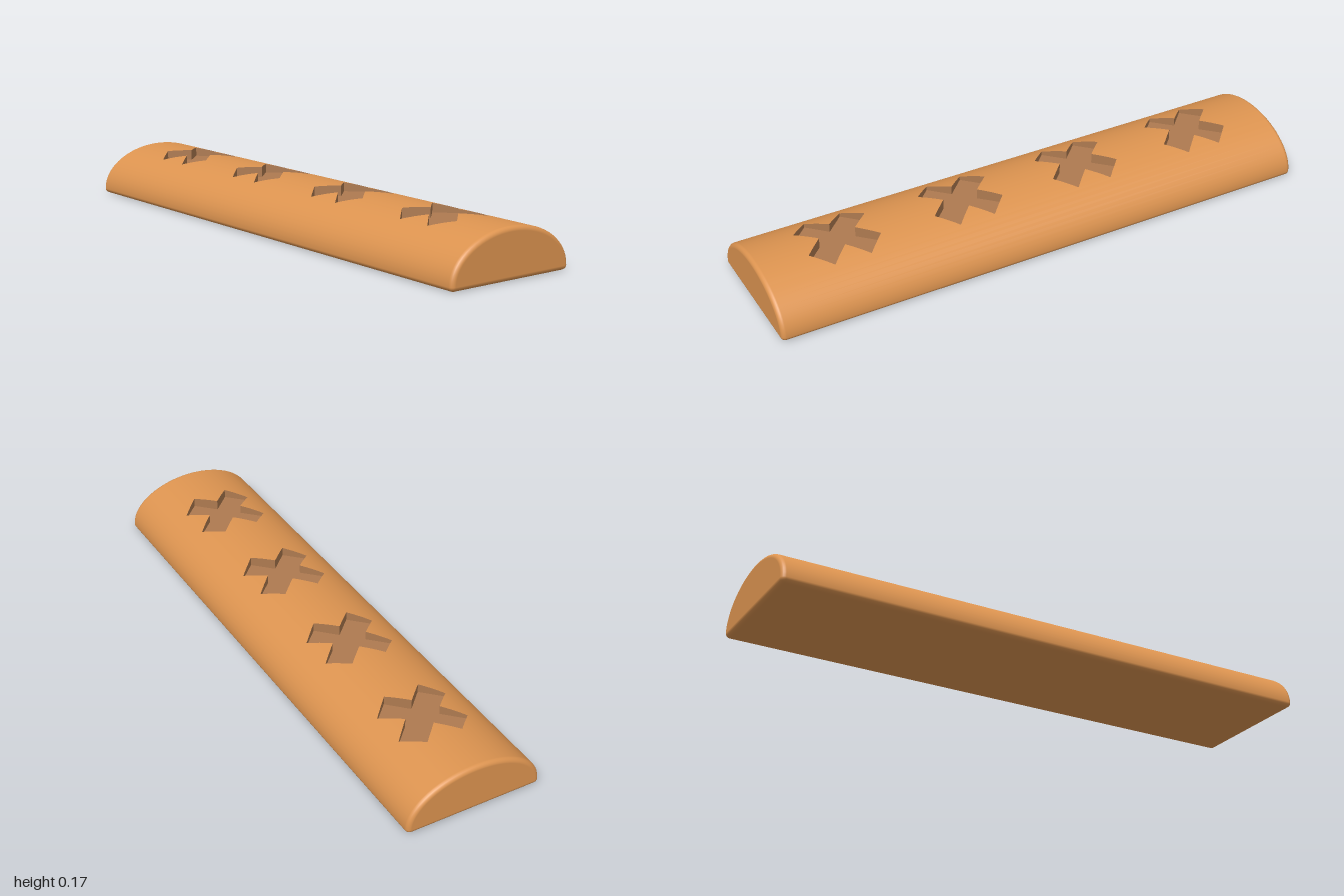
import * as THREE from 'three';

const HALF = 1, BEVEL = 0.016;            // half length, end rounding
const W = 0.247, BASE = 0.016, RISE = 0.156; // domed section
const A = 0.065;                          // a cross reaches 2A from its centre
const FLOOR = 0.135;                      // height of the cross pockets' floor
const CENTRES = [-0.69, -0.23, 0.23, 0.69];

// Extent of a cross along z (from its centre) at a given x
const lo = x => Math.max(0, Math.abs(x) - A);
const hi = x => Math.abs(x) <= A ? A + Math.abs(x) : 3 * A - Math.abs(x);

// Section ring, counter-clockwise seen from +z; each point has a normal
function sectionRing() {
  const half = [];
  const add = (cx, rx, ry, t) => {
    const n = new THREE.Vector2(Math.cos(t) / rx, Math.sin(t) / ry).normalize();
    half.push({ x: cx + rx * Math.cos(t), y: BASE + ry * Math.sin(t), nx: n.x, ny: n.y });
  };
  for (let i = 0; i < 6; i++) add(W - 0.018, 0.018, BASE, -Math.PI / 2 * (1 - i / 6));
  const edge = Math.acos(2 * A / W);
  for (let i = 0; i < 10; i++) add(0, W, RISE, edge * i / 10);
  for (let i = 8; i >= 0; i--) add(0, W, RISE, Math.acos(A * i / 4 / W));
  const mirrored = half.slice(0, -1).reverse().map(p => ({ ...p, x: -p.x, nx: -p.nx }));
  return [...half, ...mirrored];
}

// Collects triangles; each vertex is [x, y, z, nx, ny, nz] (normal optional)
class Builder {
  pos = [];
  nor = [];
  tri(...vs) {
    for (const v of vs) {
      this.pos.push(v[0], v[1], v[2]);
      if (v.length > 3) this.nor.push(v[3], v[4], v[5]);
    }
  }
  quad(a, b, c, d) {
    this.tri(a, b, c);
    this.tri(a, c, d);
  }
  mesh(name, color, side = THREE.FrontSide) {
    const g = new THREE.BufferGeometry();
    g.setAttribute('position', new THREE.Float32BufferAttribute(this.pos, 3));
    if (this.nor.length) g.setAttribute('normal', new THREE.Float32BufferAttribute(this.nor, 3));
    else g.computeVertexNormals();
    const m = new THREE.Mesh(g, new THREE.MeshStandardMaterial({ color, side }));
    m.name = name;
    return m;
  }
}

export function createModel() {
  const ring = sectionRing();
  const body = new Builder(), pockets = new Builder();
  const end = HALF - BEVEL;
  const at = (p, z) => [p.x, p.y, z, p.nx, p.ny, 0];
  // Point on the rounded end; s = 1 front, -1 back
  const onEnd = (p, t, s) => {
    const inset = BEVEL * (1 - Math.cos(t));
    return [p.x - p.nx * inset, p.y - p.ny * inset, s * (end + BEVEL * Math.sin(t)),
      p.nx * Math.cos(t), p.ny * Math.cos(t), s * Math.sin(t)];
  };

  ring.forEach((p, i) => {
    const q = ring[(i + 1) % ring.length];
    const strip = (p0, p1, q0, q1) => body.quad(at(p, p1), at(p, p0), at(q, q0), at(q, q1));
    const crossed = p.y > FLOOR && Math.max(Math.abs(p.x), Math.abs(q.x)) < 2 * A + 1e-6;

    if (!crossed) strip(-end, end, -end, end);
    else {
      // Dome between and inside the arms of the crosses
      const hp = hi(p.x), hq = hi(q.x), lp = lo(p.x), lq = lo(q.x);
      let p0 = -end, q0 = -end;
      for (const c of CENTRES) {
        strip(p0, c - hp, q0, c - hq);
        p0 = c + hp;
        q0 = c + hq;
        const split = lp + lq > 1e-6;
        if (split) strip(c - lp, c + lp, c - lq, c + lq);
        // Pocket floor and walls
        for (const s of [-1, 1]) {
          const f = (v, d) => [v.x, FLOOR, c + s * d], top = (v, d) => [v.x, v.y, c + s * d];
          if (s > 0) pockets.quad(f(p, hp), f(p, lp), f(q, lq), f(q, hq));
          else pockets.quad(f(p, lp), f(p, hp), f(q, hq), f(q, lq));
          pockets.quad(f(p, hp), f(q, hq), top(q, hq), top(p, hp));
          if (split) pockets.quad(f(p, lp), f(q, lq), top(q, lq), top(p, lp));
        }
      }
      strip(p0, end, q0, end);
    }

    // Rounded rims and flat ends
    const steps = 5;
    for (const s of [-1, 1]) {
      for (let k = 0; k < steps; k++) {
        const t0 = Math.PI / 2 * k / steps, t1 = Math.PI / 2 * (k + 1) / steps;
        const [near, far] = s > 0 ? [t0, t1] : [t1, t0];
        body.quad(onEnd(p, far, s), onEnd(p, near, s), onEnd(q, near, s), onEnd(q, far, s));
      }
      const a = onEnd(p, Math.PI / 2, s), b = onEnd(q, Math.PI / 2, s), mid = [0, 0.07, s * HALF, 0, 0, s];
      if (s > 0) body.tri(mid, a, b);
      else body.tri(mid, b, a);
    }
  });

  const group = new THREE.Group();
  group.name = 'domedBar';
  group.add(body.mesh('body', 0xdd9450));
  group.add(pockets.mesh('crossPockets', 0xae7a50, THREE.DoubleSide));
  return group;
}
